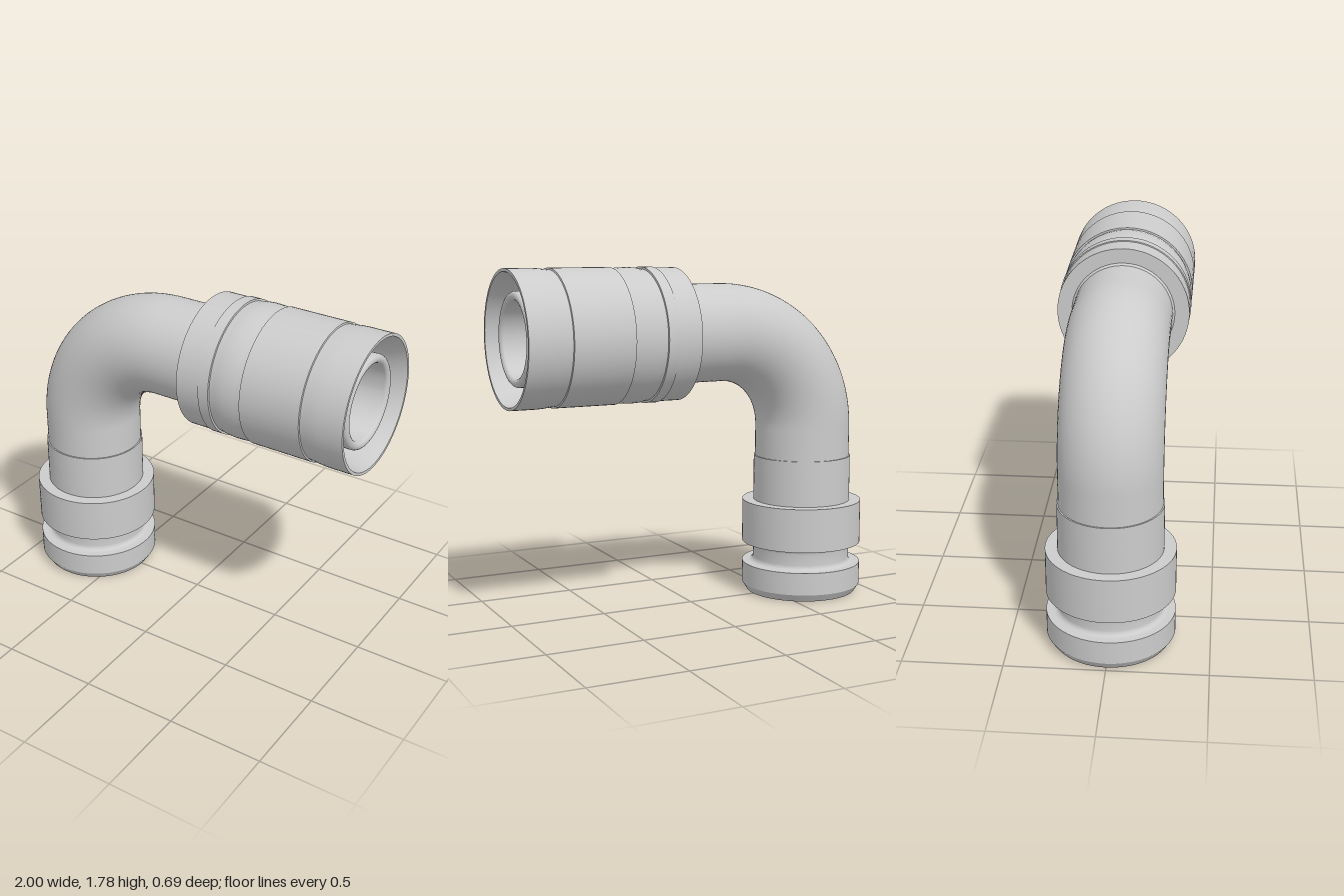
import * as THREE from 'three';
import { toCreasedNormals } from 'three/addons/utils/BufferGeometryUtils.js';

const PIPE_X = -0.677, PIPE_Y = 1.433, BEND_Y = 0.92;
const BEND_R = PIPE_Y - BEND_Y, BEND_X = PIPE_X + BEND_R;
const OUTER = 0.255, BORE = 0.19;
const material = new THREE.MeshStandardMaterial({ color: 0xcccccc, side: THREE.DoubleSide });

// Turned part from [radius, height] pairs
function turned(name, profile) {
  const points = profile.map(([r, h]) => new THREE.Vector2(r, h));
  const geometry = toCreasedNormals(new THREE.LatheGeometry(points, 72), 0.5);
  const mesh = new THREE.Mesh(geometry, material);
  mesh.name = name;
  return mesh;
}

// Quarter-circle points around (r, h), from angle a to b
function arc(r, h, radius, a, b, steps = 6) {
  return Array.from({ length: steps + 1 }, (_, i) => {
    const t = a + ((b - a) * i) / steps;
    return [r + radius * Math.cos(t), h + radius * Math.sin(t)];
  });
}

// Path up, around the elbow and along +x
function elbowPath() {
  const path = new THREE.CurvePath();
  const pts = [];
  for (let i = 0; i <= 32; i++) {
    const t = Math.PI - (i / 32) * Math.PI / 2;
    pts.push(new THREE.Vector3(BEND_X + BEND_R * Math.cos(t), BEND_Y + BEND_R * Math.sin(t), 0));
  }
  path.add(new THREE.LineCurve3(new THREE.Vector3(PIPE_X, 0.45, 0), pts[0]));
  for (let i = 0; i < 32; i++) path.add(new THREE.LineCurve3(pts[i], pts[i + 1]));
  path.add(new THREE.LineCurve3(pts[32], new THREE.Vector3(0.6, PIPE_Y, 0)));
  return path;
}

export function createModel() {
  const model = new THREE.Group();
  model.name = 'elbowConnector';

  // Bent pipe, outside and bore
  const path = elbowPath();
  for (const [name, radius] of [['elbowPipe', OUTER], ['elbowBore', BORE]]) {
    const mesh = new THREE.Mesh(new THREE.TubeGeometry(path, 160, radius, 64), material);
    mesh.name = name;
    model.add(mesh);
  }

  // Grooved spigot with sleeve and tapered bore
  const H = Math.PI / 2;
  const spigot = turned('groovedSpigot', [
    [BORE, 0.45], [0.235, 0.25], [0.245, 0], [0.297, 0], [0.323, 0.04], [0.323, 0.16],
    [0.288, 0.16], ...arc(0.288, 0.186, 0.026, -H, -2 * H),
    ...arc(0.288, 0.246, 0.026, 2 * H, H), [0.323, 0.272],
    [0.323, 0.505], [0.262, 0.505], [0.262, 0.75], [OUTER - 0.003, 0.75],
  ]);
  spigot.position.x = PIPE_X;
  model.add(spigot);

  // Parts turned about the horizontal axis
  const socket = new THREE.Group();
  socket.name = 'socketEnd';
  socket.position.y = PIPE_Y;
  socket.rotation.z = -Math.PI / 2;
  socket.add(turned('socketCollar', [
    [OUTER - 0.003, 0.085], [0.265, 0.1], [0.34, 0.1], [0.34, 0.225], [0.345, 0.227], [0.345, 0.284],
    [0.335, 0.285], [0.335, 0.295], [0.341, 0.32], [0.344, 0.365], [0.341, 0.42],
    [0.336, 0.45], [0.336, 0.455], [0.345, 0.456], [0.345, 0.775], [0.337, 0.777],
    [0.339, 0.8], [0.343, 0.835], [0.345, 0.87], [0.345, 1],
    [0.33, 1], [0.306, 0.9], [0.306, 0.6], [0.2, 0.6],
  ]));
  // Inner nozzle with rounded lip
  socket.add(turned('innerNozzle', [
    [0.235, 0.58], [0.235, 0.935], ...arc(0.2125, 0.9425, 0.0225, 0, Math.PI, 10), [BORE, 0.58],
  ]));
  model.add(socket);
  return model;
}
